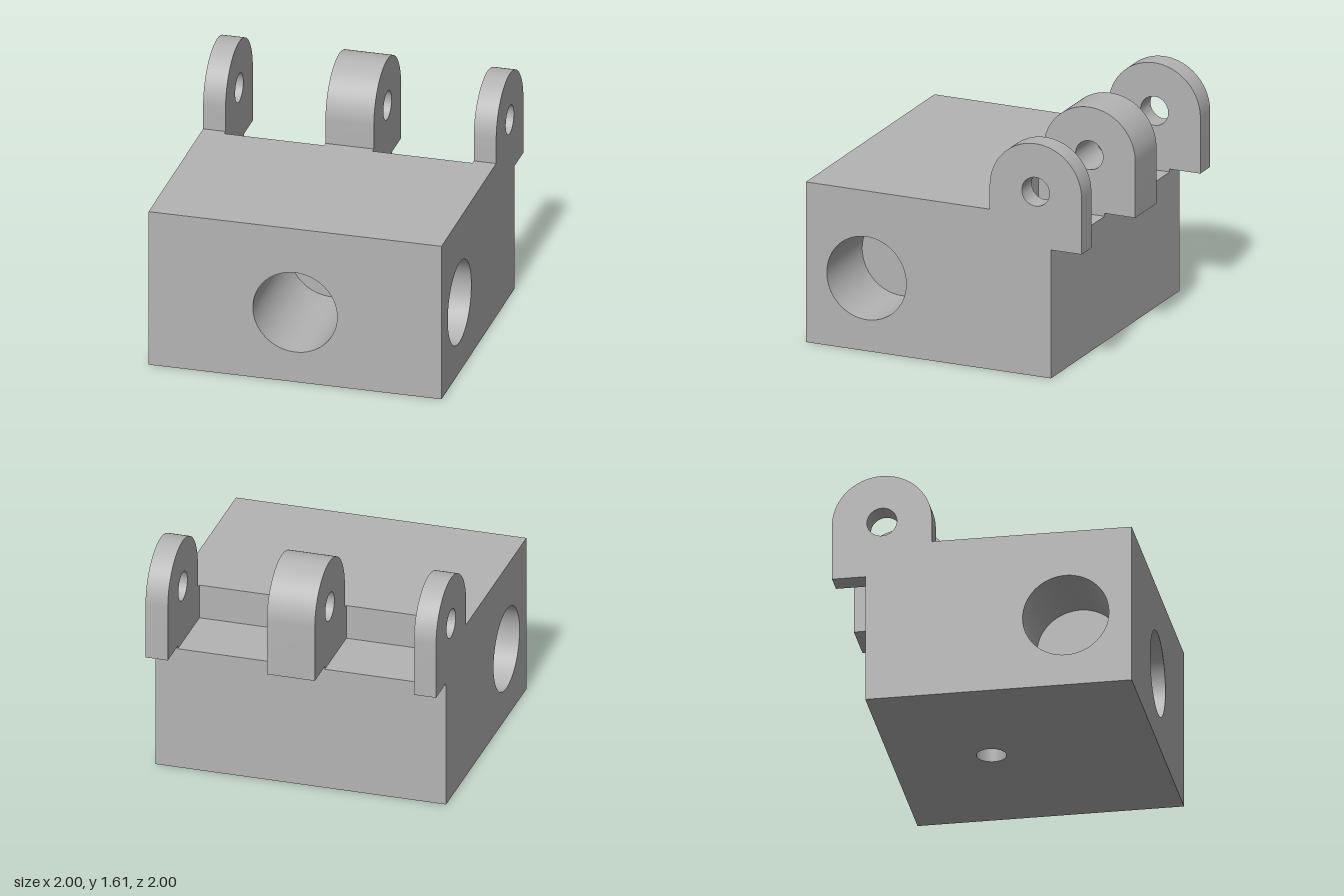
import * as THREE from 'three';
import { toCreasedNormals } from 'three/addons/utils/BufferGeometryUtils.js';

const W = 1, BACK = -0.778, FRONT = 1, TOP = 1.11;   // block extents
const FLOOR = 0.87, STEP = -0.3;                      // hinge recess
const BORE_R = 0.288, BORE_Y = 0.505, SIDE_Z = 0.56;  // large bores
const PIN_R = 0.1, BASE_Z = -0.11;

// Closed outline from points, with an optional round hole [x, y, r]
function outline(points, hole) {
  const shape = new THREE.Shape(points.map(([x, y]) => new THREE.Vector2(x, y)));
  if (hole) shape.holes.push(new THREE.Path().absarc(...hole, 0, Math.PI * 2, true));
  return shape;
}

const rect = (x0, y0, x1, y1) => [[x0, y0], [x1, y0], [x1, y1], [x0, y1]];

export function createModel() {
  const group = new THREE.Group();
  const grey = new THREE.MeshStandardMaterial({ color: 0xb4b4b4, side: THREE.DoubleSide });

  function add(name, geometry, position, rotation = [0, 0, 0]) {
    const mesh = new THREE.Mesh(geometry, grey);
    mesh.name = name;
    mesh.position.set(...position);
    mesh.rotation.set(...rotation);
    group.add(mesh);
  }
  const panel = (name, points, hole, position, rotation) =>
    add(name, new THREE.ShapeGeometry(outline(points, hole), 32), position, rotation);

  // Blind bore: inward-facing wall and end disc, opening along local +y
  function bore(name, r, depth, position, rotation) {
    const profile = [[r, 0], [r, -depth], [0, -depth]].map(([x, y]) => new THREE.Vector2(x, y));
    add(name, toCreasedNormals(new THREE.LatheGeometry(profile, 64), 0.6), position, rotation);
  }

  const Q = Math.PI / 2;

  // Block faces
  panel('frontFace', rect(-W, 0, W, TOP), [0, BORE_Y, BORE_R], [0, 0, FRONT]);
  panel('backFace', rect(-W, 0, W, FLOOR), null, [0, 0, BACK], [0, Math.PI, 0]);
  panel('topFace', rect(-W, -FRONT, W, -STEP), null, [0, TOP, 0], [-Q, 0, 0]);
  panel('recessFloor', rect(-W, -STEP, W, -BACK), null, [0, FLOOR, 0], [-Q, 0, 0]);
  panel('recessWall', rect(-W, FLOOR, W, TOP), null, [0, 0, STEP], [0, Math.PI, 0]);
  panel('bottomFace', rect(-W, BACK, W, FRONT), [0, BASE_Z, PIN_R], [0, 0, 0], [Q, 0, 0]);
  for (const s of [-1, 1]) {
    const side = [[FRONT, 0], [FRONT, TOP], [STEP, TOP], [STEP, FLOOR], [BACK, FLOOR], [BACK, 0]];
    const name = s > 0 ? 'left' : 'right';
    panel(name + 'Face', side.map(([z, y]) => [-s * z, y]), [-s * SIDE_Z, BORE_Y, BORE_R],
      [s * W, 0, 0], [0, s * Q, 0]);
    bore(name + 'Bore', BORE_R, 0.55, [s * W, BORE_Y, SIDE_Z], [0, 0, -s * Q]);
  }
  bore('frontBore', BORE_R, 0.89, [0, BORE_Y, FRONT], [Q, 0, 0]);
  bore('bottomHole', PIN_R, 0.33, [0, 0, BASE_Z], [Math.PI, 0, 0]);

  // Hinge lugs: rounded tops, pin holes and a ledge overhanging the back
  const lugR = 0.333, lugZ = -0.667, lugY = 1.278;
  const lug = new THREE.Shape();
  lug.moveTo(BACK, FLOOR);
  lug.lineTo(STEP, FLOOR);
  lug.lineTo(STEP, TOP);
  lug.lineTo(lugZ + lugR, TOP);
  lug.lineTo(lugZ + lugR, lugY);
  lug.absarc(lugZ, lugY, lugR, 0, Math.PI, false);
  lug.lineTo(-1, 0.89);
  lug.lineTo(BACK, 0.89);
  lug.closePath();
  lug.holes.push(new THREE.Path().absarc(lugZ, lugY, PIN_R, 0, Math.PI * 2, true));

  for (const [name, x0, x1] of [['rightLug', -1, -0.847], ['middleLug', -0.165, 0.165], ['leftLug', 0.847, 1]]) {
    const geometry = new THREE.ExtrudeGeometry(lug, { depth: x1 - x0, bevelEnabled: false, curveSegments: 32 });
    add(name, toCreasedNormals(geometry, 0.5), [x1, 0, 0], [0, -Q, 0]);
  }
  return group;
}
